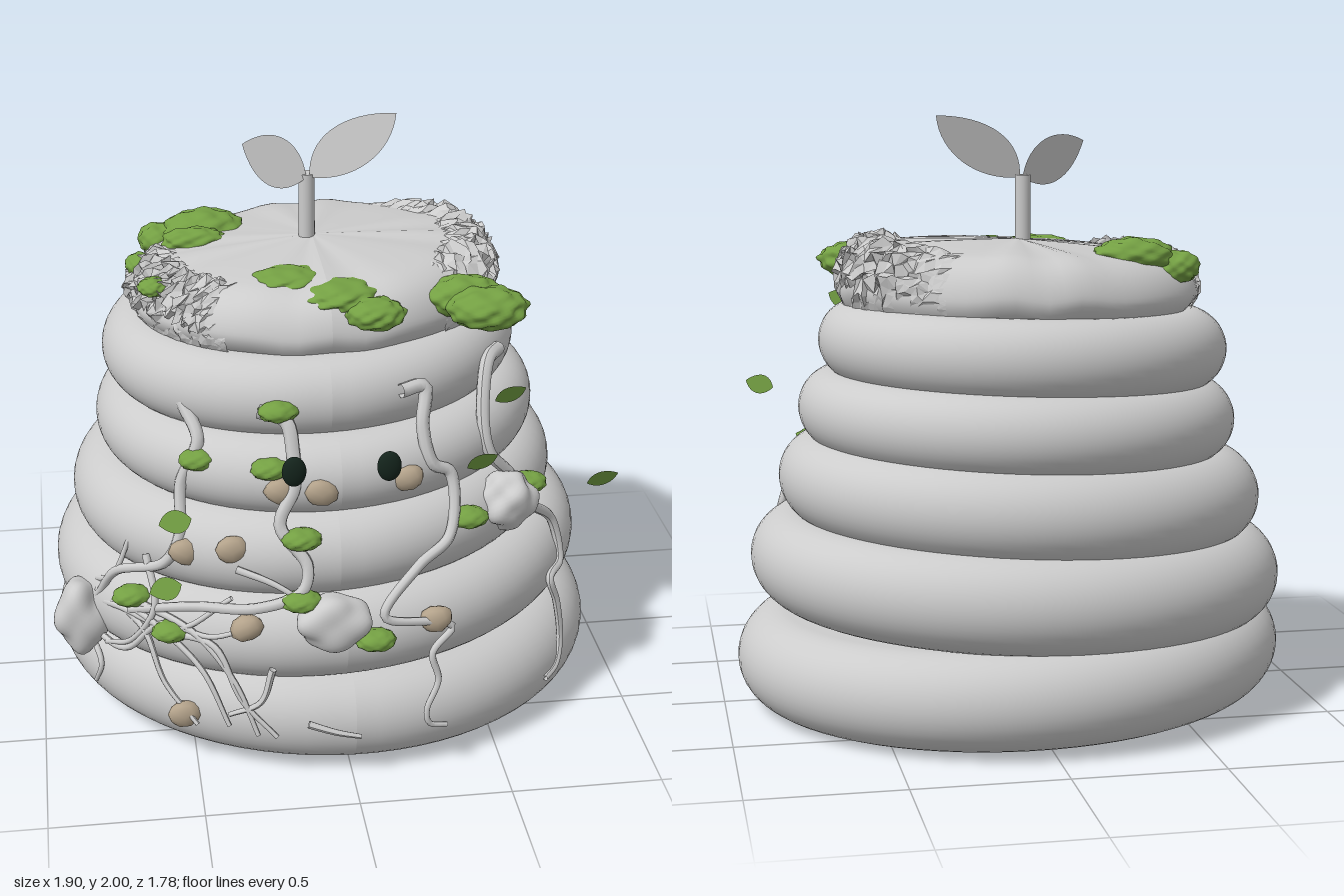
import * as THREE from 'three';
import { mergeVertices } from 'three/addons/utils/BufferGeometryUtils.js';

const mat = (name, color) => {
  const m = new THREE.MeshStandardMaterial({ color, side: THREE.DoubleSide });
  m.name = name;
  return m;
};
const V = (x, y, z) => new THREE.Vector3(x, y, z);

export function createModel() {
  const model = new THREE.Group();
  const clay = mat('pale grey', 0xcccccc);
  const moss = mat('moss green', 0x74a043);
  const stone = mat('beige', 0xb5a48c);
  const dark = mat('dark eye', 0x14241c);
  let seed = 7;
  const rand = () => (seed = (seed * 16807) % 2147483647) / 2147483647;

  const add = (name, geo, material, pos = [0, 0, 0], parent = model) => {
    const m = new THREE.Mesh(geo, material);
    m.name = name;
    m.position.set(...pos);
    parent.add(m);
    return m;
  };
  const bend = (geo, rule) => {
    const p = geo.attributes.position, v = V();
    for (let i = 0; i < p.count; i++) {
      rule(v.fromBufferAttribute(p, i), i);
      p.setXYZ(i, v.x, v.y, v.z);
    }
    geo.computeVertexNormals();
    return geo;
  };

  // Stacked rounded tiers: centre y, half height, x range, z range, rise towards +x
  const tiers = [
    [0.18, 0.16, -0.93, 0.95, -0.89, 0.855, -0.02],
    [0.475, 0.16, -0.93, 0.9, -0.87, 0.82, 0.04],
    [0.745, 0.152, -0.86, 0.8, -0.8, 0.76, 0.04],
    [0.995, 0.135, -0.77, 0.73, -0.74, 0.7, 0.025],
    [1.23, 0.135, -0.74, 0.66, -0.67, 0.61, 0.02],
  ];
  for (const [y, h, x0, x1, z0, z1, rise] of tiers) {
    const rx = (x1 - x0) / 2, rz = (z1 - z0) / 2;
    const pts = [new THREE.Vector2(0, -h)];
    for (let i = 0; i <= 20; i++) {
      const a = -Math.PI / 2 + (Math.PI * i) / 20;
      pts.push(new THREE.Vector2(1 - (h / rx) * (1 - Math.cos(a)), h * Math.sin(a)));
    }
    pts.push(new THREE.Vector2(0, h));
    const geo = bend(new THREE.LatheGeometry(pts, 72), (v) => {
      v.y += rise * v.x;
      v.x *= rx;
      v.z *= rz;
    });
    add('tier', geo, clay, [(x0 + x1) / 2, y, (z0 + z1) / 2]);
  }

  // Top tier with a wavy, slightly sloping lid
  const capProfile = [[0, 1.32], [0.86, 1.33], [0.94, 1.36], [0.98, 1.41], [0.96, 1.46], [0.9, 1.51], [0.8, 1.545], [0.66, 1.56], [0.4, 1.572], [0, 1.585]];
  const capCurve = new THREE.CatmullRomCurve3(capProfile.map(([r, y]) => V(r, y, 0)));
  const capPts = capCurve.getPoints(36).map((p) => new THREE.Vector2(Math.max(0, p.x), p.y));
  const CX = -0.025, CZ = -0.02, RX = 0.63, RZ = 0.535;
  const slope = (x, y) => y + 0.05 * x * Math.max(0, (y - 1.3) / 0.28);
  add('topTier', bend(new THREE.LatheGeometry(capPts, 72), (v) => {
    const a = Math.atan2(v.z, v.x), r = Math.hypot(v.x, v.z);
    v.y += 0.008 * r * Math.sin(a * 9 + Math.sin(a * 4) * 2);
    v.x *= RX;
    v.z *= RZ;
    v.y = slope(v.x, v.y);
  }), clay, [CX, 0, CZ]);

  // Jagged crust on both sides of the top tier
  function crust(a0, a1, lift) {
    const nu = 46, nv = 15, pos = [], idx = [];
    for (let i = 0; i <= nu; i++) for (let j = 0; j <= nv; j++) {
      const edge = Math.min(1, 5 * Math.min(i / nu, 1 - i / nu, j / nv, 1 - j / nv));
      const a = THREE.MathUtils.degToRad(a0 + ((a1 - a0) * (i + rand() * 0.8)) / nu);
      const p = capCurve.getPoint(0.24 + 0.52 * ((j + rand() * 0.8 - 0.4) / nv));
      const r = p.x + (rand() - 0.4) * 0.07 * edge;
      const x = r * RX * Math.cos(a);
      pos.push(x, slope(x, p.y) + (rand() * 0.045 + lift) * edge - 0.01 * (1 - edge), r * RZ * Math.sin(a));
      if (i < nu && j < nv) {
        const k = i * (nv + 1) + j;
        idx.push(k, k + 1, k + nv + 1, k + 1, k + nv + 2, k + nv + 1);
      }
    }
    const g = new THREE.BufferGeometry();
    g.setAttribute('position', new THREE.Float32BufferAttribute(pos, 3));
    g.setIndex(idx);
    const flat = g.toNonIndexed();
    flat.computeVertexNormals();
    add('crust', flat, clay, [CX, 0, CZ]);
  }
  crust(-60, 50, 0.012);
  crust(122, 200, 0);

  // Stem and two leaves
  add('stem', new THREE.CylinderGeometry(0.027, 0.027, 0.26, 20), clay, [-0.042, 1.67, -0.015]);
  function leafGeo(L, up, down, fold) {
    const s = new THREE.Shape();
    s.moveTo(0, 0);
    s.bezierCurveTo(L * 0.2, up, L * 0.6, up, L, 0);
    s.bezierCurveTo(L * 0.75, -down, L * 0.3, -down, 0, 0);
    return bend(new THREE.ShapeGeometry(s, 16), (v) => { v.z = fold * v.y; });
  }
  const rightLeaf = add('topLeaf', leafGeo(0.355, 0.105, 0.095, -0.35), clay, [-0.035, 1.79, 0.005]);
  rightLeaf.rotation.z = 0.63;
  const leftLeaf = add('topLeaf', leafGeo(0.245, 0.1, 0.1, 0.35), clay, [-0.045, 1.79, 0.005]);
  leftLeaf.rotation.z = Math.PI - 0.53;

  // Front surface: z on the outer envelope for a given x and y
  const env = [[0, 0.92], [0.15, 0.93], [0.4, 0.905], [0.6, 0.87], [0.85, 0.785], [1.1, 0.7], [1.3, 0.635], [2, 0.4]];
  function frontZ(x, y) {
    let i = 0;
    while (i < env.length - 2 && y > env[i + 1][0]) i++;
    const [y0, r0] = env[i], [y1, r1] = env[i + 1];
    const r = r0 + ((r1 - r0) * (y - y0)) / (y1 - y0);
    return 0.95 * Math.sqrt(Math.max(0.02, r * r - x * x)) - 0.01;
  }

  // Lumpy ellipsoids for moss, knots and stones
  function blob(name, material, x, y, z, rx, ry, rz, bump, freq, detail = 7) {
    let g = new THREE.IcosahedronGeometry(1, detail);
    g.deleteAttribute('normal');
    g.deleteAttribute('uv');
    g = mergeVertices(g, 1e-4);
    const k = rand() * 6;
    bend(g, (v) => {
      const n = Math.sin(freq * v.x + k) * Math.sin(freq * v.y + 2 * k) + Math.sin(freq * v.z + k) * Math.cos(freq * 0.8 * (v.x - v.y));
      v.multiplyScalar(1 + bump * n);
      v.set(v.x * rx, v.y * ry, v.z * rz);
    });
    return add(name, g, material, [x, y, z]);
  }
  const bushes = [
    [-0.14, 1.54, 0.27, 0.12, 0.035, 0.095], [0.02, 1.52, 0.37, 0.125, 0.045, 0.11], [0.115, 1.49, 0.475, 0.095, 0.05, 0.075],
    [0.42, 1.49, 0.36, 0.125, 0.065, 0.09], [0.48, 1.48, 0.45, 0.13, 0.065, 0.1],
    [-0.37, 1.54, -0.25, 0.14, 0.06, 0.1], [-0.52, 1.5, -0.26, 0.075, 0.055, 0.075], [-0.41, 1.54, -0.12, 0.11, 0.045, 0.06],
    [-0.6, 1.49, -0.06, 0.05, 0.035, 0.06], [-0.57, 1.5, 0.18, 0.05, 0.03, 0.05],
  ];
  for (const b of bushes) blob('mossBush', moss, ...b, 0.055, 9, 9);
  const tufts = [[-0.21, 1.225], [-0.46, 1.04], [-0.24, 1.05], [-0.155, 0.84], [-0.16, 0.65], [-0.69, 0.55], [-0.57, 0.485], [0.07, 0.515], [0.4, 0.835], [0.64, 0.84]];
  for (const [x, y] of tufts) blob('mossTuft', moss, x, y, frontZ(x, y) + 0.01, 0.065, 0.034, 0.05, 0.05, 8, 5);
  const stones = [[-0.21, 0.98], [-0.085, 0.98], [0.195, 1.0], [-0.515, 0.745], [-0.37, 0.785], [-0.335, 0.545], [0.275, 0.545], [-0.54, 0.2]];
  for (const [x, y] of stones) blob('pebble', stone, x, y, frontZ(x, y), 0.055, 0.047, 0.035, 0.06, 3, 1);

  // Knotted burls on the front and side
  blob('burl', clay, -0.06, 0.575, 0.81, 0.12, 0.095, 0.075, 0.08, 4);
  blob('burl', clay, 0.55, 0.83, 0.53, 0.1, 0.1, 0.09, 0.1, 5);
  blob('burl', clay, -0.855, 0.39, 0.34, 0.09, 0.13, 0.1, 0.09, 4);

  // Eyes
  for (const x of [-0.19, 0.105]) {
    add('eye', new THREE.SphereGeometry(1, 24, 16), dark, [x, 1.135, 0.84]).scale.set(0.038, 0.05, 0.021);
  }

  // Loose green leaves
  const leaves = [[0.76, 0.98, 0.74, 0.3], [0.37, 1.06, 0.74, 0.4], [0.45, 1.29, 0.745, 0.4], [-0.5, 0.93, 0.72, 3.3], [-0.54, 0.72, 0.76, 3.4]];
  for (const [x, y, z, r] of leaves) {
    const l = add('looseLeaf', leafGeo(0.105, 0.045, 0.045, 0.5), moss, [x, y, z]);
    l.rotation.z = r;
  }

  // Vines and twigs hugging the front, tapering along their length
  function vine(name, pts, r0, r1) {
    const curve = new THREE.CatmullRomCurve3(pts.map(([x, y]) => V(x, y, frontZ(x, y) + 0.012)));
    const n = pts.length * 7, sides = 8;
    const centres = Array.from({ length: n + 1 }, (_, i) => curve.getPointAt(i / n));
    const geo = bend(new THREE.TubeGeometry(curve, n, r0, sides), (v, i) => {
      const t = Math.floor(i / (sides + 1));
      v.lerp(centres[t], (1 - r1 / r0) * (t / n));
    });
    add(name, geo, clay);
  }
  vine('vine', [[-0.44, 1.25], [-0.5, 1.255], [-0.5, 1.2], [-0.46, 1.1], [-0.52, 0.95], [-0.53, 0.8], [-0.58, 0.7], [-0.74, 0.6], [-0.8, 0.48]], 0.025, 0.014);
  vine('vine', [[-0.27, 1.22], [-0.19, 1.2], [-0.17, 1.1], [-0.17, 1.0], [-0.22, 0.88], [-0.14, 0.76], [-0.16, 0.68], [-0.3, 0.62], [-0.5, 0.59], [-0.7, 0.5]], 0.025, 0.014);
  vine('vine', [[0.18, 1.27], [0.26, 1.27], [0.25, 1.15], [0.28, 1.03], [0.34, 0.99], [0.33, 0.8], [0.22, 0.73], [0.1, 0.59], [0.28, 0.54], [0.33, 0.51], [0.26, 0.44], [0.28, 0.34], [0.24, 0.24], [0.25, 0.19], [0.31, 0.17]], 0.024, 0.009);
  vine('vine', [[0.55, 1.28], [0.5, 1.27], [0.47, 1.1], [0.49, 1.0], [0.57, 0.9], [0.64, 0.78], [0.74, 0.67], [0.77, 0.52], [0.72, 0.5], [0.75, 0.4], [0.77, 0.24], [0.75, 0.17], [0.7, 0.155]], 0.025, 0.01);
  const twigs = [
    [[-0.88, 0.46], [-0.75, 0.58], [-0.69, 0.72]],
    [[-0.86, 0.42], [-0.74, 0.49], [-0.55, 0.5], [-0.38, 0.64]],
    [[-0.87, 0.35], [-0.72, 0.36], [-0.6, 0.5], [-0.45, 0.5], [-0.33, 0.55]],
    [[-0.8, 0.5], [-0.66, 0.46], [-0.6, 0.3], [-0.5, 0.18]],
    [[-0.74, 0.52], [-0.6, 0.48], [-0.48, 0.38], [-0.4, 0.2]],
    [[-0.7, 0.54], [-0.5, 0.5], [-0.38, 0.36], [-0.31, 0.18]],
    [[-0.58, 0.48], [-0.44, 0.47], [-0.36, 0.3], [-0.25, 0.18]],
    [[-0.26, 0.42], [-0.3, 0.3], [-0.4, 0.24]],
    [[-0.86, 0.36], [-0.8, 0.25], [-0.82, 0.17]],
    [[-0.64, 0.7], [-0.62, 0.55], [-0.7, 0.4], [-0.78, 0.34]],
    [[-0.36, 0.73], [-0.25, 0.7], [-0.14, 0.64]],
    [[-0.15, 0.23], [-0.06, 0.2], [0.02, 0.18]],
  ];
  for (const t of twigs) vine('twig', t, 0.013, 0.008);

  return model;
}
